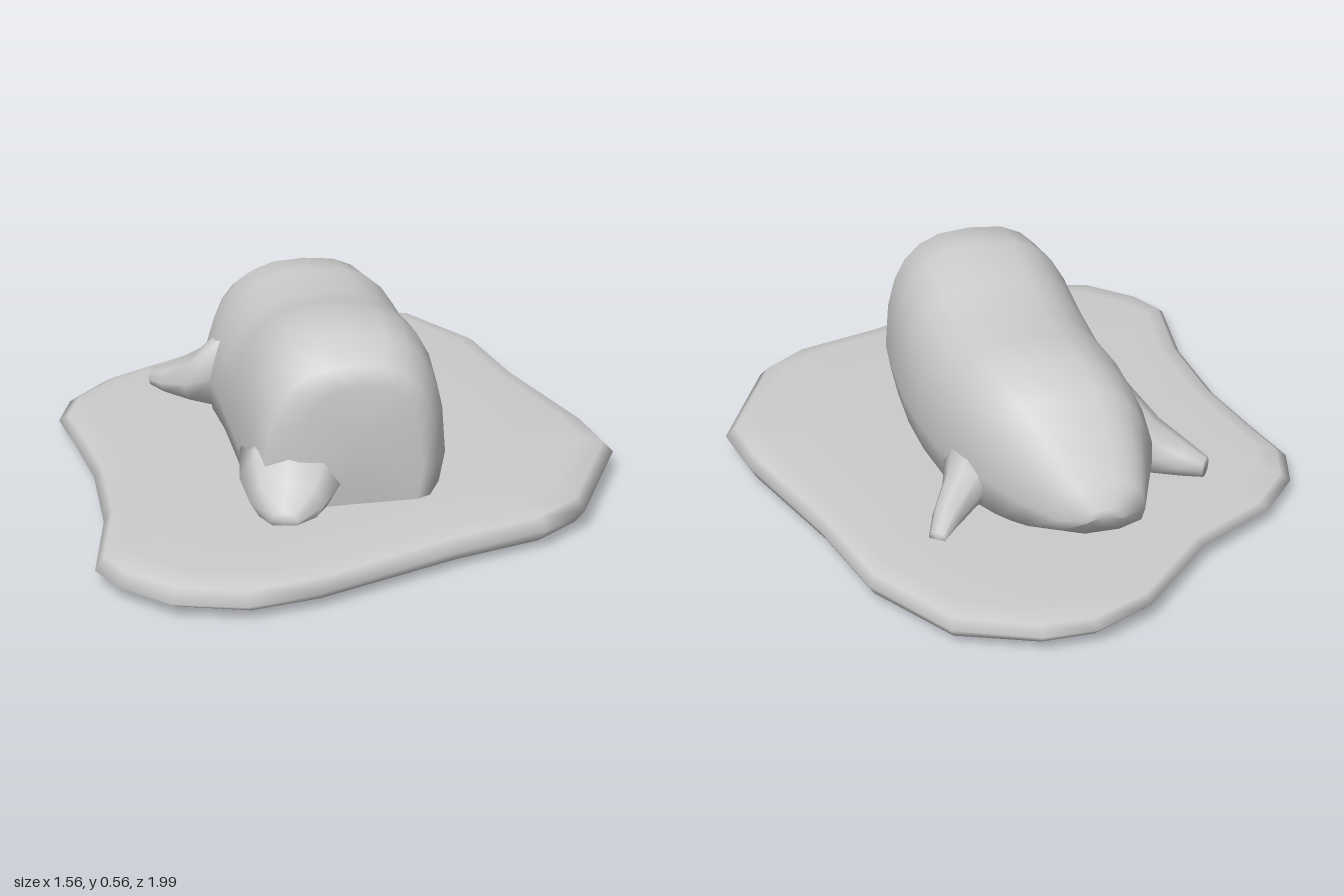
import * as THREE from 'three';
import { mergeVertices } from 'three/addons/utils/BufferGeometryUtils.js';

const material = new THREE.MeshStandardMaterial({ color: 0xcccccc, side: THREE.DoubleSide });

// Skin a list of equally long closed rings; optionally cap either end with a fan.
function loft(rings, capStart, capEnd) {
  const n = rings[0].length;
  const pos = rings.flat(2);
  const index = [];
  for (let r = 0; r < rings.length - 1; r++) {
    for (let i = 0; i < n; i++) {
      const j = (i + 1) % n;
      const a = r * n + i, b = r * n + j, c = a + n, d = b + n;
      index.push(a, b, c, b, d, c);
    }
  }
  const cap = (r, flip) => {
    const centre = [0, 1, 2].map(k => rings[r].reduce((s, p) => s + p[k], 0) / n);
    const id = pos.length / 3;
    pos.push(...centre);
    for (let i = 0; i < n; i++) {
      const a = r * n + i, b = r * n + (i + 1) % n;
      index.push(...(flip ? [b, a, id] : [a, b, id]));
    }
  };
  if (capStart) cap(0, true);
  if (capEnd) cap(rings.length - 1, false);
  let geo = new THREE.BufferGeometry();
  geo.setAttribute('position', new THREE.Float32BufferAttribute(pos, 3));
  geo.setIndex(index);
  geo = mergeVertices(geo, 1e-4);
  geo.computeVertexNormals();
  return geo;
}

function part(name, geo) {
  const mesh = new THREE.Mesh(geo, material);
  mesh.name = name;
  return mesh;
}

// Irregular slab: thin bevelled rim, gently tilted top, open underneath.
function makeSlab() {
  const outline = [
    [0.02, -1], [0.17, -1], [0.39, -0.91], [0.55, -0.65], [0.62, -0.34], [0.75, 0.06],
    [0.78, 0.24], [0.61, 0.6], [0.48, 0.7], [0.23, 0.78], [-0.17, 0.95], [-0.36, 0.99],
    [-0.55, 0.94], [-0.68, 0.82], [-0.73, 0.72], [-0.69, 0.44], [-0.7, 0.15], [-0.74, -0.07],
    [-0.78, -0.26], [-0.74, -0.4], [-0.62, -0.54], [-0.38, -0.68], [-0.15, -0.92],
  ].reverse();
  const ring = (s, height) => outline.map(([x, z]) => [x * s, height(x, z), z * s]);
  const top = (x, z) => 0.098 + 0.018 * x + 0.008 * z;
  return loft([
    ring(0.83, () => 0.012),
    ring(0.91, () => 0.01),
    ring(0.965, () => 0.028),
    ring(1, x => 0.06 + 0.015 * x),
    ring(0.965, (x, z) => top(x, z) - 0.014),
    ring(0.89, top),
    ring(0.6, top),
  ], false, true);
}

// Reclining body: [z, base left, base right, top left, top right, top y, bottom y].
function makeBody() {
  const stations = [
    [0.54, -0.17, 0.17, -0.15, 0.16, 0.45, 0.09],
    [0.52, -0.26, 0.21, -0.24, 0.21, 0.5, 0.07],
    [0.44, -0.29, 0.25, -0.27, 0.24, 0.56, 0.06],
    [0.29, -0.31, 0.265, -0.28, 0.25, 0.575, 0.06],
    [0.12, -0.32, 0.275, -0.27, 0.25, 0.535, 0.06],
    [-0.04, -0.33, 0.27, -0.27, 0.24, 0.5, 0.06],
    [-0.2, -0.35, 0.25, -0.27, 0.23, 0.51, 0.06],
    [-0.34, -0.34, 0.21, -0.27, 0.2, 0.495, 0.06],
    [-0.43, -0.31, 0.16, -0.28, 0.15, 0.44, 0.07],
    [-0.52, -0.27, 0.09, -0.26, 0.08, 0.345, 0.08],
    [-0.6, -0.235, 0.01, -0.23, 0.0, 0.25, 0.1],
    [-0.64, -0.16, -0.06, -0.15, -0.06, 0.19, 0.14],
  ];
  const arch = 12;
  const rings = stations.map(([z, bl, br, tl, tr, top, low]) => {
    const ring = [];
    const base = Math.min(0.2, low + (top - low) * 0.35);
    for (let i = 0; i <= arch; i++) {
      const a = Math.PI * i / arch;
      const c = Math.cos(a), s = Math.sin(a);
      const h = Math.pow(s, 0.72);
      const left = bl + (tl - bl) * h, right = br + (tr - br) * h;
      const u = Math.sign(c) * Math.pow(Math.abs(c), 0.72);
      ring.push([(left + right) / 2 + u * (right - left) / 2, base + (top - base) * h, z]);
    }
    // belly below the sides
    const mid = (bl + br) / 2, half = (br - bl) / 2;
    ring.push([mid - half * 0.92, low + 0.02, z], [mid - half * 0.4, low, z],
      [mid + half * 0.4, low, z], [mid + half * 0.92, low + 0.02, z]);
    return ring.reverse();
  });
  return loft(rings, true, true);
}

// Tapered limb through oval stations: [x, y, z, half width, half height].
function makeLimb(stations, sides = 8) {
  const first = stations[0], last = stations[stations.length - 1];
  const dir = new THREE.Vector2(last[0] - first[0], last[2] - first[2]).normalize();
  const rings = stations.map(([x, y, z, w, h]) => Array.from({ length: sides }, (_, i) => {
    const a = 2 * Math.PI * i / sides;
    return [x - dir.y * Math.cos(a) * w, y + Math.sin(a) * h, z + dir.x * Math.cos(a) * w];
  }).reverse());
  return loft(rings, true, true);
}

export function createModel() {
  const model = new THREE.Group();
  model.name = 'recliningAnimalOnSlab';
  model.add(part('slab', makeSlab()));
  model.add(part('body', makeBody()));

  // small paws beside the head
  model.add(part('leftPaw', makeLimb([
    [0.14, 0.18, -0.27, 0.11, 0.11],
    [0.22, 0.155, -0.37, 0.06, 0.065],
    [0.29, 0.125, -0.46, 0.04, 0.04],
    [0.33, 0.105, -0.525, 0.025, 0.02],
  ])));
  model.add(part('rightPaw', makeLimb([
    [-0.25, 0.22, -0.22, 0.13, 0.15],
    [-0.36, 0.16, -0.285, 0.085, 0.08],
    [-0.44, 0.135, -0.345, 0.06, 0.045],
    [-0.485, 0.125, -0.385, 0.035, 0.028],
  ])));

  // wedge-shaped foot at the front corner
  model.add(part('frontFoot', makeLimb([
    [-0.16, 0.2, 0.38, 0.15, 0.14],
    [-0.185, 0.17, 0.5, 0.14, 0.11],
    [-0.205, 0.135, 0.58, 0.1, 0.065],
    [-0.22, 0.11, 0.63, 0.04, 0.025],
  ])));
  return model;
}
